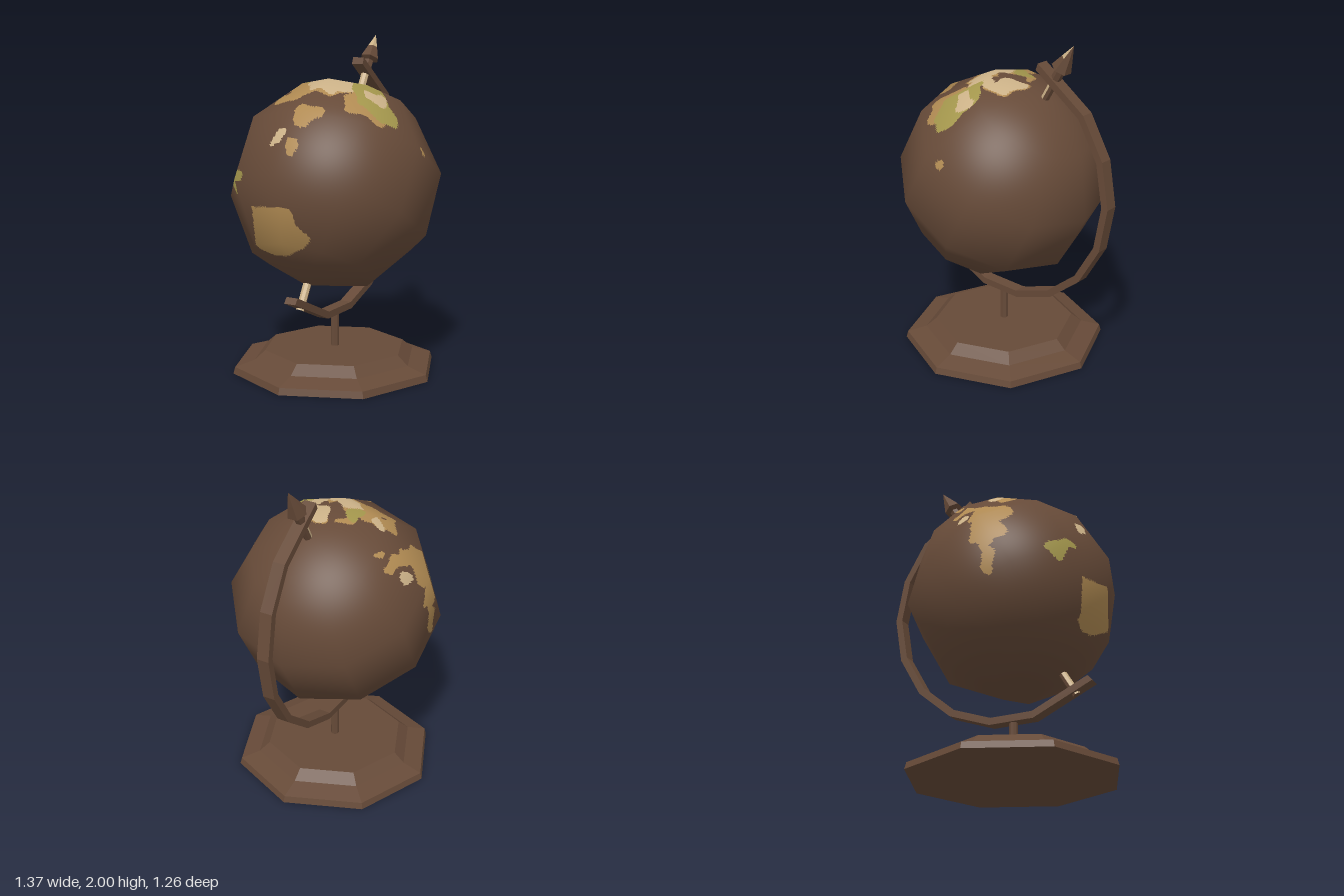
import * as THREE from 'three';

const material = (name, color) => Object.assign(new THREE.MeshStandardMaterial({ color }), { name });
const wood = material('wood', 0x664a38);
const ocean = material('ocean', 0x664a38);
const tan = material('tan land', 0xb08a52);
const olive = material('olive land', 0xa3964c);
const cream = material('cream', 0xcbb187);
const surfaces = [ocean, tan, olive, cream];

const CENTRE = new THREE.Vector3(-0.065, 1.12, 0);
const RADIUS = 0.636;
const TURN = Math.PI / 8;
const TILT = new THREE.Euler(0, TURN, -Math.PI / 6, 'YZX');

function add(parent, name, geometry, mat) {
  const mesh = new THREE.Mesh(geometry, mat);
  mesh.name = name;
  parent.add(mesh);
  return mesh;
}

function faceted(geometry) {
  const flat = geometry.toNonIndexed();
  flat.computeVertexNormals();
  return flat;
}

const lathe = (points, sides, start, length) =>
  faceted(new THREE.LatheGeometry(points.map(([x, y]) => new THREE.Vector2(x, y)), sides, start, length));

// Projection planes on which the land is laid out: right, up, outward
const planes = {
  top: [[1, 0, 0], [0, 0, 1], [0, 1, 0]],
  front: [[1, 0, 0], [0, 1, 0], [0, 0, 1]],
  back: [[-0.857, 0, 0.515], [0.203, 0.919, 0.338], [-0.473, 0.394, -0.788]],
};
for (const key in planes) planes[key] = planes[key].map((v) => new THREE.Vector3(...v));

// Land as overlapping ovals in hundredths of a unit: x, y, two radii, tilt; later ones lie on top
const OCEAN = 0, TAN = 1, OLIVE = 2, CREAM = 3;
const lands = [
  // northern continent
  ['top', TAN, -16, -12, 15, 16],
  ['top', TAN, -9, 7, 16, 10, 45],
  ['top', TAN, 13, 4, 7, 13],
  ['top', TAN, 0, 33, 16, 13],
  ['top', TAN, 4, -15, 7, 3, 15],
  ['top', CREAM, -9, 3, 8, 14],
  ['top', CREAM, 12, 4, 7, 12],
  ['top', CREAM, 0, 14, 10, 6],
  ['top', CREAM, -12, -24, 4, 4],
  ['top', OLIVE, 5, 31, 11, 15],
  ['top', OLIVE, -2, -14, 6, 5],
  ['top', CREAM, 8, 29, 8, 4, 10],
  ['top', OCEAN, 2, 8, 2, 2],
  ['top', OCEAN, -20, -18, 2, 2],
  // islands
  ['top', TAN, -34, 21, 8, 6, 35],
  ['top', CREAM, -48, 12, 6, 2, 55],
  ['top', TAN, -48, 24, 3, 3],
  ['front', TAN, 23, 22, 3, 2, -40],
  ['front', TAN, -54, -20, 8, 15, 20],
  // rear continent and its neighbours
  ['back', TAN, 2, 8, 12, 13],
  ['back', TAN, 2, -8, 11, 9, -20],
  ['back', TAN, 3, -25, 4, 10, 15],
  ['back', TAN, -13, 20, 12, 4, -5],
  ['back', TAN, -22, 30, 3, 2],
  ['back', CREAM, -16, 9, 4, 4],
  ['back', OLIVE, 41, -12, 8, 5, 45],
];

// Oval test with a wavering coastline
function inOval(px, py, x, y, rx, ry, tilt = 0) {
  const dx = px + 1.3 * Math.sin(0.4 * py + 1) - x;
  const dy = py + 1.3 * Math.sin(0.5 * px) - y;
  const t = THREE.MathUtils.degToRad(tilt);
  const u = dx * Math.cos(t) + dy * Math.sin(t);
  const v = dy * Math.cos(t) - dx * Math.sin(t);
  return (u / rx) ** 2 + (v / ry) ** 2 < 1;
}

function landAt(point) {
  const p = point.clone().applyEuler(TILT).multiplyScalar(100);
  let colour = OCEAN;
  for (const [plane, land, ...oval] of lands) {
    const [right, up, out] = planes[plane];
    if (p.dot(out) > 0 && inOval(p.dot(right), p.dot(up), ...oval)) colour = land;
  }
  return colour;
}

// Ten-by-five faceted ball, each facet finely divided so the land can be coloured
function globeGeometry(columns = 10, rows = 5, n = 26) {
  const positions = [], normals = [], buckets = surfaces.map(() => []);
  const corner = (row, column) => new THREE.Vector3().setFromSphericalCoords(
    RADIUS, (row * Math.PI) / rows, Math.PI / 2 + (column * 2 * Math.PI) / columns);
  for (let row = 0; row < rows; row++) for (let column = 0; column < columns; column++) {
    const a = corner(row, column), b = corner(row, column + 1);
    const c = corner(row + 1, column), d = corner(row + 1, column + 1);
    const start = positions.length / 3, points = [];
    for (let i = 0; i <= n; i++) for (let j = 0; j <= n; j++) {
      const p = a.clone().lerp(b, j / n).lerp(c.clone().lerp(d, j / n), i / n);
      points.push(p);
      positions.push(...p.toArray());
      normals.push(...p.clone().normalize().toArray());
    }
    for (let i = 0; i < n; i++) for (let j = 0; j < n; j++) {
      const k = i * (n + 1) + j;
      for (const tri of [[k, k + n + 1, k + n + 2], [k, k + n + 2, k + 1]]) {
        const middle = new THREE.Vector3();
        tri.forEach((t) => middle.addScaledVector(points[t], 1 / 3));
        buckets[landAt(middle)].push(...tri.map((t) => t + start));
      }
    }
  }
  const geometry = new THREE.BufferGeometry();
  geometry.setAttribute('position', new THREE.Float32BufferAttribute(positions, 3));
  geometry.setAttribute('normal', new THREE.Float32BufferAttribute(normals, 3));
  geometry.setIndex(buckets.flat());
  let offset = 0;
  buckets.forEach((bucket, i) => {
    geometry.addGroup(offset, bucket.length, i);
    offset += bucket.length;
  });
  return geometry;
}

// C-shaped bracket of straight segments with lengthened ends
function bracketGeometry() {
  const depth = 0.075;
  const angles = [-129, -100, -80, -60, -40, -20, 0, 20, 40, 69];
  const ring = (r) => angles.map((a) => new THREE.Vector2(
    r * Math.cos(THREE.MathUtils.degToRad(a)), r * Math.sin(THREE.MathUtils.degToRad(a))));
  const shape = new THREE.Shape([...ring(0.8), ...ring(0.757).reverse()]);
  return new THREE.ExtrudeGeometry(shape, { depth, bevelEnabled: false }).translate(0, 0, -depth / 2);
}

export function createModel() {
  const model = new THREE.Group();
  model.name = 'deskGlobe';

  // Stepped octagonal base and post
  const k = 1 / Math.cos(Math.PI / 8);
  const profile = [[0, 0], [0.58, 0], [0.57, 0.04], [0.46, 0.075], [0.4, 0.13], [0, 0.13]];
  const base = add(model, 'base', lathe(profile.map(([r, y]) => [r * k, y]), 8), wood);
  base.position.x = CENTRE.x;
  base.rotation.y = Math.PI / 8;
  const post = add(model, 'post', faceted(new THREE.CylinderGeometry(0.025, 0.025, 0.23, 8)), wood);
  post.position.set(CENTRE.x, 0.235, 0);

  // Bracket around the globe
  const bracket = add(model, 'bracket', bracketGeometry(), wood);
  bracket.position.copy(CENTRE);
  bracket.rotation.y = TURN;

  // Everything on the tilted axis
  const axis = new THREE.Group();
  axis.name = 'tiltedAxis';
  axis.position.copy(CENTRE);
  axis.rotation.copy(TILT);
  model.add(axis);
  add(axis, 'globe', globeGeometry(), surfaces);

  // Pins at both poles, pale on one side
  for (const [name, y] of [['upperPin', 0.69], ['lowerPin', -0.69]]) {
    [wood, cream].forEach((mat, i) => {
      const half = new THREE.CylinderGeometry(0.025, 0.025, 0.2, 4, 1, true, i * Math.PI, Math.PI);
      add(axis, name, faceted(half), mat).position.y = y;
    });
  }

  // Spear-shaped finial with a partly pale tip
  add(axis, 'finial', lathe([[0, 0.77], [0.03, 0.77], [0.03, 0.835], [0.06, 0.85], [0.032, 0.93]], 6), wood);
  const tip = [[0.032, 0.93], [0, 1.018]];
  add(axis, 'finialTip', lathe(tip, 4, 0, (4 * Math.PI) / 3), wood);
  add(axis, 'finialTipPale', lathe(tip, 2, (4 * Math.PI) / 3, (2 * Math.PI) / 3), cream);

  return model;
}
